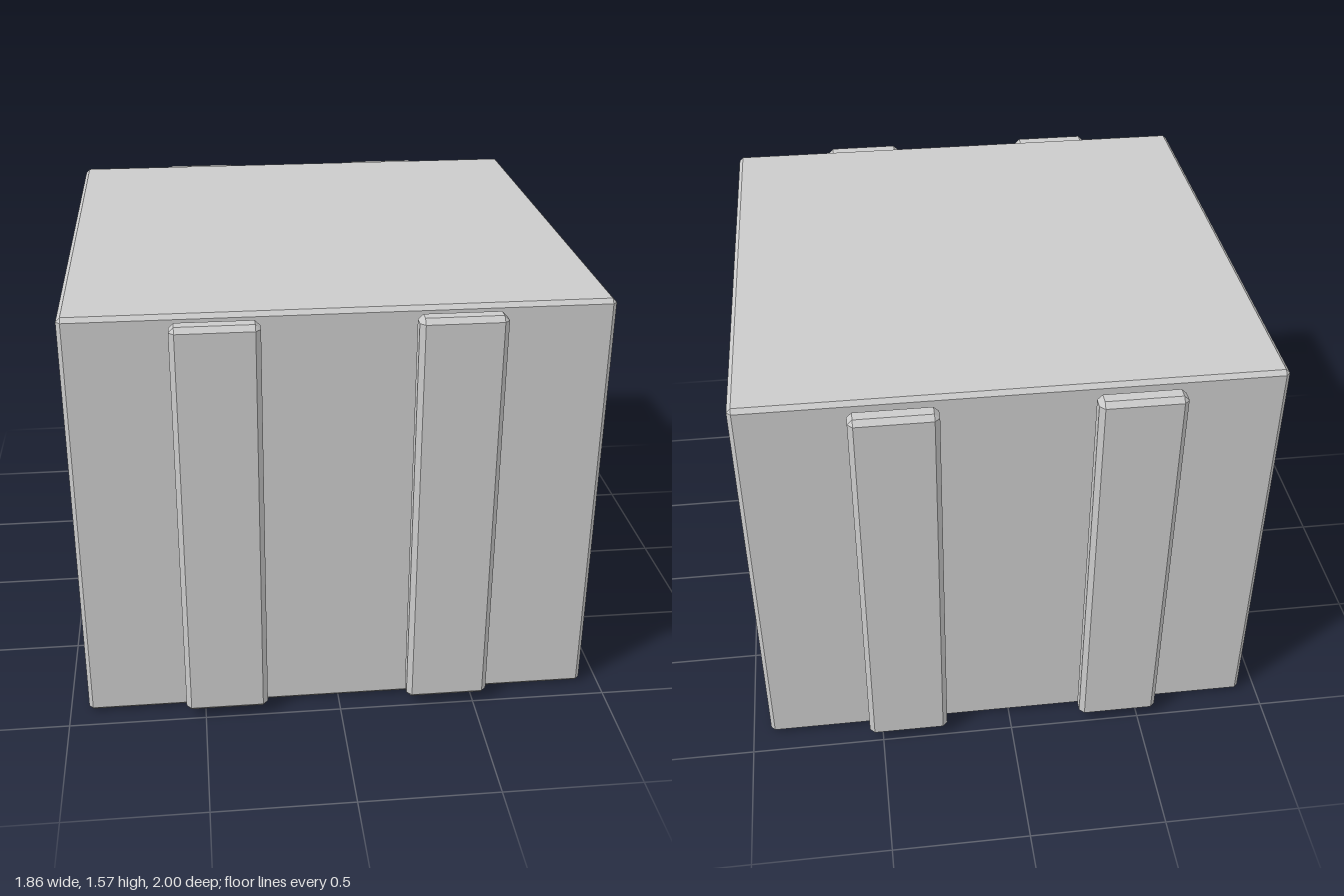
import * as THREE from 'three';
import { ConvexGeometry } from 'three/addons/geometries/ConvexGeometry.js';

const material = new THREE.MeshStandardMaterial({ color: 0xcccccc, flatShading: true });

// Box with every edge and corner cut by one flat chamfer c
function chamferedBox(name, w, h, d, c) {
  const half = [w / 2, h / 2, d / 2];
  const points = [];
  for (const sx of [-1, 1]) for (const sy of [-1, 1]) for (const sz of [-1, 1]) {
    for (let face = 0; face < 3; face++) {
      const [x, y, z] = half.map((v, axis) => (axis === face ? v : v - c));
      points.push(new THREE.Vector3(sx * x, sy * y, sz * z));
    }
  }
  const mesh = new THREE.Mesh(new ConvexGeometry(points), material);
  mesh.name = name;
  return mesh;
}

export function createModel() {
  const model = new THREE.Group();
  model.name = 'crate';

  // Main block
  const body = chamferedBox('body', 1.864, 1.566, 1.836, 0.015);
  body.position.set(0, 0.783, 0.004);
  model.add(body);

  // Two upright slats on the front and two on the back
  for (const [side, z] of [['front', 0.963], ['back', -0.962]]) {
    for (const [hand, x] of [['Right', -0.42], ['Left', 0.4]]) {
      const slat = chamferedBox(`${side}${hand}Slat`, 0.3, 1.52, 0.075, 0.018);
      slat.position.set(x, 0.788, z);
      model.add(slat);
    }
  }
  return model;
}
